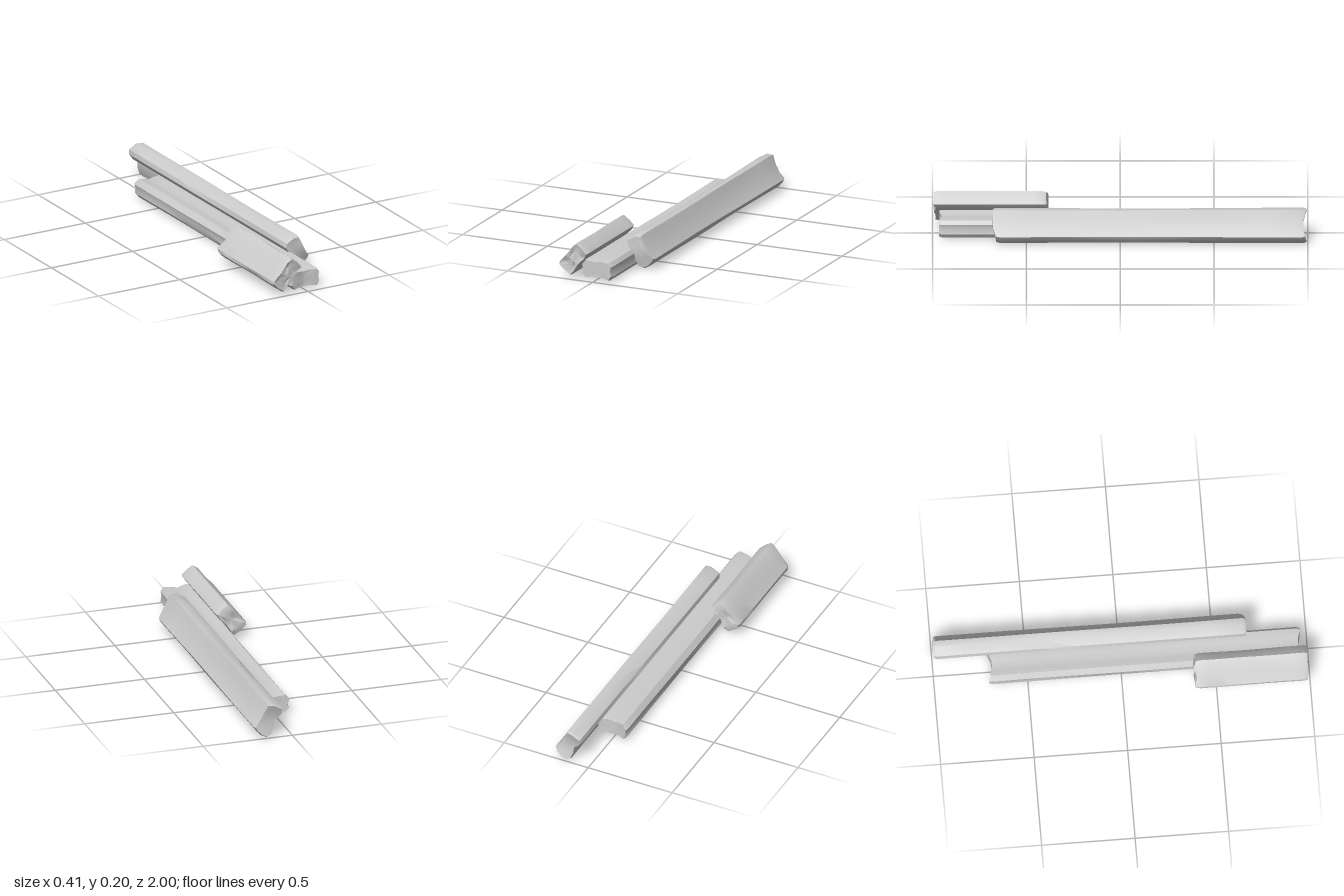
import * as THREE from 'three';
import { toCreasedNormals } from 'three/addons/utils/BufferGeometryUtils.js';

// Lofts a worn outline along z. axis: direction of the plank's width;
// front / back: end offset in z for u = -1..1 across the width.
function plank(name, outline, { z0, z1, axis, front, back, wobble, material }) {
  const pts = outline.map(([x, y]) => new THREE.Vector2(x, y));
  if (THREE.ShapeUtils.isClockWise(pts)) pts.reverse();
  const n = pts.length;
  const box = new THREE.Box2().setFromPoints(pts);
  const mid = box.getCenter(new THREE.Vector2());
  const dir = new THREE.Vector2(...axis).normalize();
  const half = Math.max(...pts.map(p => Math.abs(p.clone().sub(mid).dot(dir))));
  const positions = [];
  const index = [];

  // One ring: outline scaled about its centre, ends following the worn cut
  const ring = (t, scale) => {
    pts.forEach((p, i) => {
      const q = p.clone().sub(mid).multiplyScalar(scale);
      const u = q.dot(dir) / half;
      const a = z0 + back(u);
      const b = z1 + front(u);
      const body = Math.sin(Math.PI * Math.min(1, Math.max(0, t)));
      const s = 1 - wobble * body * (0.5 + 0.5 * Math.sin(t * 7 + i * 1.7));
      positions.push(mid.x + q.x * s, mid.y + q.y * s, a + (b - a) * t);
    });
  };

  const edge = 0.018 / (z1 - z0);
  const rings = [[0, 0.001], [0, 0.5], [0, 0.93], [edge, 1]];
  for (let i = 1; i < 9; i++) rings.push([i / 9, 1]);
  rings.push([1 - edge, 1], [1, 0.93], [1, 0.5], [1, 0.001]);
  rings.forEach(([t, s]) => ring(t, s));

  for (let r = 0; r < rings.length - 1; r++) {
    for (let i = 0; i < n; i++) {
      const j = (i + 1) % n;
      const a = r * n + i, b = r * n + j, c = a + n, d = b + n;
      index.push(a, b, d, a, d, c);
    }
  }
  const geometry = new THREE.BufferGeometry();
  geometry.setAttribute('position', new THREE.Float32BufferAttribute(positions, 3));
  geometry.setIndex(index);
  const mesh = new THREE.Mesh(toCreasedNormals(geometry, 0.7), material);
  mesh.name = name;
  return mesh;
}

export function createModel() {
  const group = new THREE.Group();
  group.name = 'plankPile';
  const material = new THREE.MeshStandardMaterial({ color: 0xcccccc, roughness: 0.9 });

  // Short plank leaning on the right-hand side of the pile
  const shortPlank = plank('shortPlank', [
    [-0.14, 0.015], [-0.18, 0.042], [-0.205, 0.068], [-0.205, 0.086], [-0.165, 0.128],
    [-0.122, 0.185], [-0.095, 0.203], [-0.06, 0.178], [-0.034, 0.15], [-0.052, 0.122],
    [-0.09, 0.082], [-0.118, 0.04],
  ], {
    z0: 0.39, z1: 0.985, axis: [0.55, 0.83], wobble: 0.03, material,
    front: u => 0.006 * u + 0.009 * Math.cos(u * 8),
    back: u => 0.008 * Math.cos(u * 6),
  });

  // Flat plank in the middle
  const flatPlank = plank('flatPlank', [
    [-0.062, 0.007], [-0.08, 0.03], [-0.077, 0.055], [-0.084, 0.08], [-0.06, 0.109],
    [-0.03, 0.106], [0, 0.1], [0.03, 0.107], [0.08, 0.106], [0.096, 0.085],
    [0.09, 0.06], [0.096, 0.03], [0.08, 0.007], [0.04, 0.014], [0, 0.011], [-0.03, 0.014],
  ], {
    z0: -0.69, z1: 0.955, axis: [1, 0], wobble: 0.04, material,
    front: u => 0.01 * u * u - 0.006 * Math.cos(u * 5),
    back: u => 0.004 - 0.026 * u * u,
  });

  // Long plank leaning on the left-hand side
  const longPlank = plank('longPlank', [
    [0.14, 0], [0.113, 0.01], [0.097, 0.05], [0.095, 0.088], [0.065, 0.108],
    [0.047, 0.135], [0.052, 0.16], [0.1, 0.187], [0.132, 0.187], [0.15, 0.148],
    [0.178, 0.095], [0.205, 0.06], [0.194, 0.04], [0.168, 0.014],
  ], {
    z0: -0.975, z1: 0.675, axis: [-0.45, 0.89], wobble: 0.05, material,
    front: u => 0.01 * u + 0.006 * Math.cos(u * 4),
    back: u => -0.025 * u * u,
  });

  group.add(shortPlank, flatPlank, longPlank);
  return group;
}
